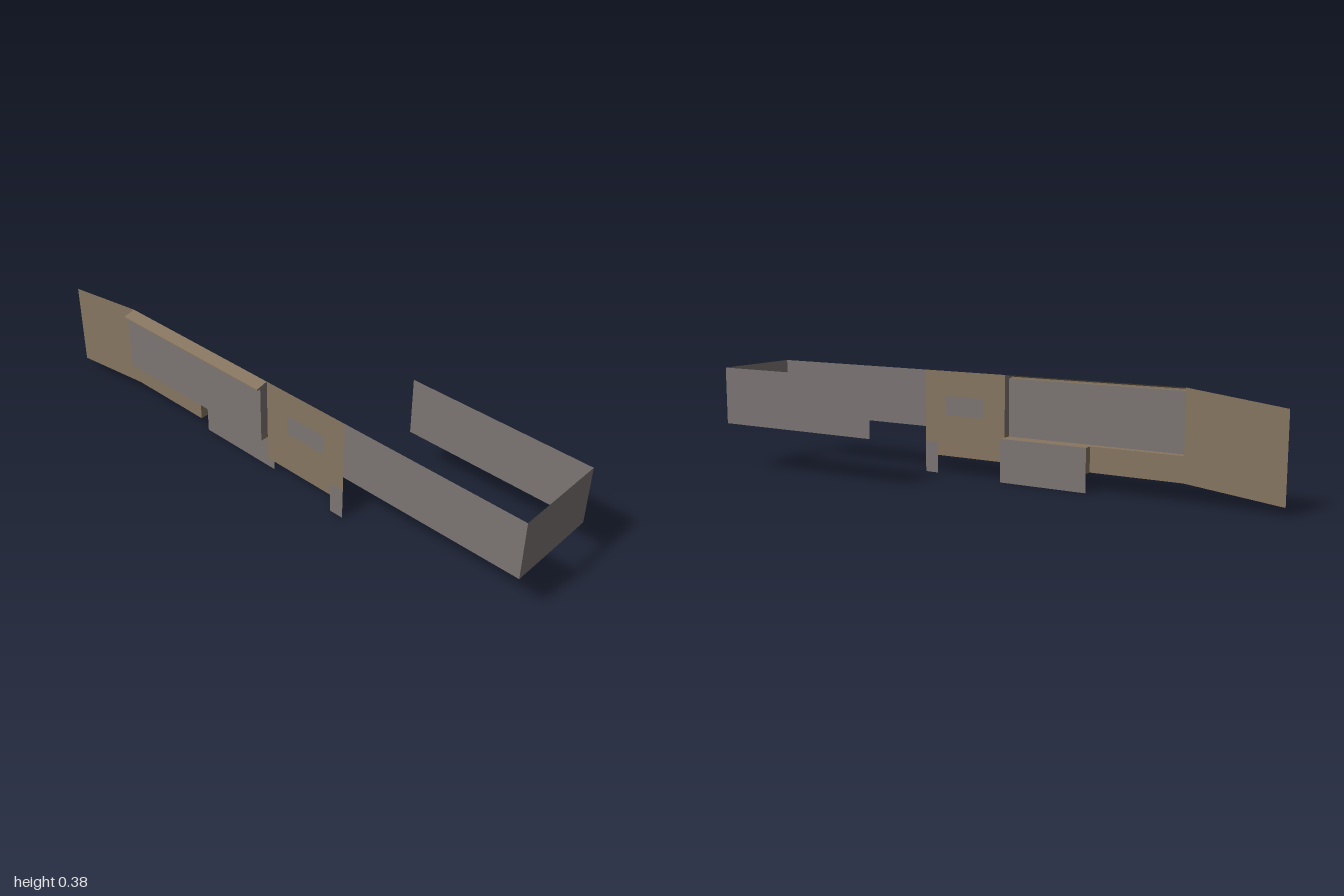
import * as THREE from 'three';

const panelGrey = new THREE.MeshStandardMaterial({ color: 0x7b7573, side: THREE.DoubleSide });
panelGrey.name = 'panel grey';
const wallTan = new THREE.MeshStandardMaterial({ color: 0x867560, side: THREE.DoubleSide });
wallTan.name = 'wall tan';

// Main levels and planes
const WALL_X = -0.145, BAY_X = -0.175, EAVE_X = -0.19, RECESS_X = -0.115, FAR_X = 0.19;
const TOP = 0.376, EAVE = 0.361, SILL = 0.155, BASE = 0.066;
const Z0 = 0.336, BAY_END = -0.667, RECESS_END = -0.333;

const rect = (a0, a1, b0, b1) => [[a0, b0], [a1, b0], [a1, b1], [a0, b1]];
const toVectors = (pts, sign = 1) => pts.map(([a, b]) => new THREE.Vector2(sign * a, b));

export function createModel() {
  const model = new THREE.Group();
  model.name = 'wallSection';

  const add = (name, geometry, material) => {
    const mesh = new THREE.Mesh(geometry, material);
    mesh.name = name;
    model.add(mesh);
  };

  // Sheet in a plane of constant x, outlined in [z, y]
  const sideSheet = (name, x, pts, material, hole) => {
    const shape = new THREE.Shape(toVectors(pts, -1));
    if (hole) shape.holes.push(new THREE.Path(toVectors(hole, -1)));
    add(name, new THREE.ShapeGeometry(shape).rotateY(Math.PI / 2).translate(x, 0, 0), material);
  };

  // Sheet in a plane of constant z, outlined in [x, y]
  const crossSheet = (name, z, pts, material) =>
    add(name, new THREE.ShapeGeometry(new THREE.Shape(toVectors(pts))).translate(0, 0, z), material);

  // Open [x, y] profile swept along z from 0 to zEnd
  const sweep = (name, profile, zEnd, material) => {
    const pos = [];
    for (let i = 0; i < profile.length - 1; i++) {
      const [ax, ay] = profile[i], [bx, by] = profile[i + 1];
      pos.push(ax, ay, 0, bx, by, zEnd, bx, by, 0, ax, ay, 0, ax, ay, zEnd, bx, by, zEnd);
    }
    const geometry = new THREE.BufferGeometry();
    geometry.setAttribute('position', new THREE.Float32BufferAttribute(pos, 3));
    geometry.computeVertexNormals();
    add(name, geometry, material);
  };

  // Three-sided grey enclosure at the front
  const sidePanel = rect(Z0, 1, 0.168, TOP);
  sideSheet('enclosureRightWall', WALL_X, sidePanel, panelGrey);
  sideSheet('enclosureLeftWall', FAR_X, sidePanel, panelGrey);
  crossSheet('enclosureFrontWall', 1, rect(WALL_X, FAR_X, 0.168, TOP), panelGrey);

  // Tan wall with a small window and a corner post
  const windowPane = rect(0.09, 0.25, 0.215, 0.285);
  const postTop = 0.115, postZ = 0.283;
  sideSheet('mainWall', WALL_X,
    [[0, BASE], [postZ, BASE], [postZ, postTop], [Z0, postTop], [Z0, TOP], [0, TOP]], wallTan, windowPane);
  sideSheet('windowPane', WALL_X, windowPane, panelGrey);
  sideSheet('cornerPost', WALL_X, rect(postZ, Z0, 0, postTop), panelGrey);
  sideSheet('lowerWall', WALL_X, rect(BAY_END, RECESS_END, BASE, SILL), wallTan);
  sideSheet('slopingWall', WALL_X, [[BAY_END, BASE], [BAY_END, TOP], [-1, 0.333], [-1, 0.027]], wallTan);

  // Bay pushed outward, with a sloping roof and eave
  sideSheet('bayWall', BAY_X, rect(BAY_END, 0, SILL, EAVE), panelGrey);
  sweep('bayRoof', [[WALL_X, TOP], [EAVE_X, 0.366], [EAVE_X, EAVE], [BAY_X, EAVE]], BAY_END, wallTan);
  sweep('bayFloor', [[BAY_X, SILL], [WALL_X, SILL]], BAY_END, wallTan);
  const bayEnd = (bottom) => [[WALL_X, bottom], [WALL_X, TOP], [EAVE_X, 0.366],
    [EAVE_X, EAVE], [BAY_X, EAVE], [BAY_X, bottom]];
  crossSheet('bayFrontEnd', 0, bayEnd(0.175), panelGrey);
  crossSheet('bayFrontEndBase', 0, rect(BAY_X, WALL_X, SILL, 0.175), wallTan);
  crossSheet('bayBackEnd', BAY_END, bayEnd(SILL), panelGrey);

  // Recess pushed inward below the bay
  sideSheet('recessWall', RECESS_X, rect(RECESS_END, 0, 0, SILL), panelGrey);
  sweep('recessLedge', [[WALL_X, SILL], [RECESS_X, SILL]], RECESS_END, wallTan);
  for (const [name, z] of [['recessFrontEnd', 0], ['recessBackEnd', RECESS_END]])
    crossSheet(name, z, rect(WALL_X, RECESS_X, BASE, SILL), wallTan);

  return model;
}
